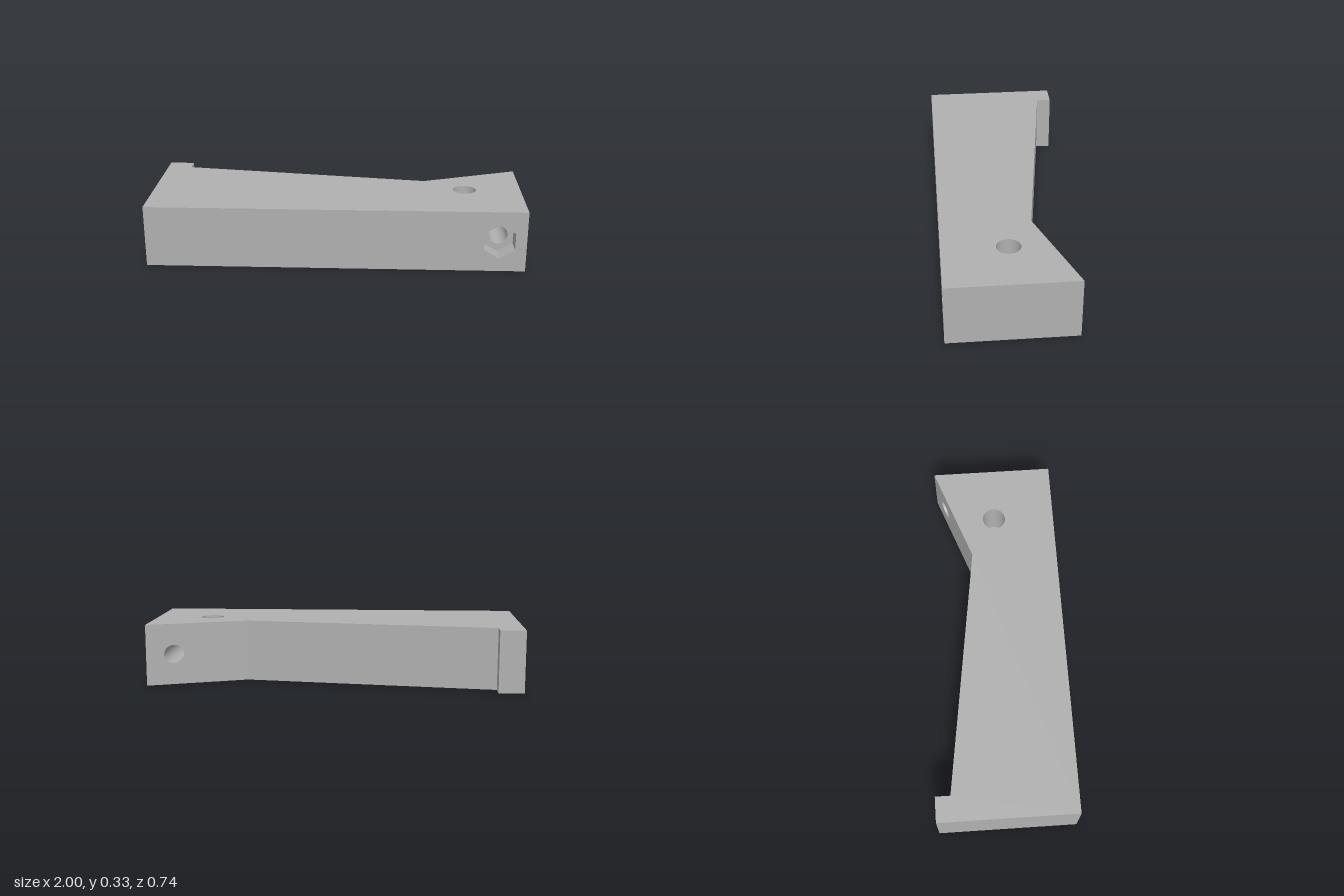
import * as THREE from 'three';

const HEIGHT = 0.33, FRONT = 0.37;
// Plan outline of the block as [x, z], running from the front left corner round to the back
const PLAN = [[-1, FRONT], [1, FRONT], [1, -0.29], [0.48, -0.1], [-0.865, -0.29], [-0.865, -0.37], [-1, -0.37]];
const BORE = { x: 0.86, y: 0.165, r: 0.05 };
const NUT = { r: 0.093, depth: 0.1 };
const PIN = { x: 0.695, z: 0.035, r: 0.062, depth: 0.22 };
const SEGMENTS = 48;

// Depth of the sloping back face at a given x
const slopeZ = (x) => -0.1 - (x - 0.48) * (0.19 / 0.52);

const polygon = (pts) => new THREE.Shape(pts.map(([x, y]) => new THREE.Vector2(x, y)));

// Points of a regular polygon with a corner pointing straight up
function ring(cx, cy, r, n) {
  return Array.from({ length: n }, (_, i) => {
    const a = Math.PI / 2 + (i / n) * Math.PI * 2;
    return [cx + r * Math.cos(a), cy + r * Math.sin(a)];
  });
}

function face(outline, hole) {
  const shape = polygon(outline);
  if (hole) shape.holes.push(polygon(hole));
  return new THREE.ShapeGeometry(shape);
}

export function createModel() {
  const group = new THREE.Group();
  const grey = new THREE.MeshStandardMaterial({ color: 0xb0b0b0, side: THREE.DoubleSide });
  grey.name = 'plain grey';

  const add = (name, geometry) => {
    const mesh = new THREE.Mesh(geometry, grey);
    mesh.name = name;
    group.add(mesh);
  };

  // Top with the round pin hole, and the plain underside
  const top = face(PLAN.map(([x, z]) => [x, -z]), ring(PIN.x, -PIN.z, PIN.r, SEGMENTS));
  add('topFace', top.rotateX(-Math.PI / 2).translate(0, HEIGHT, 0));
  add('underside', face(PLAN).rotateX(Math.PI / 2));

  // Front with the hexagonal recess
  const hexagon = ring(BORE.x, BORE.y, NUT.r, 6);
  const frontOutline = [[-1, 0], [1, 0], [1, HEIGHT], [-1, HEIGHT]];
  add('frontFace', face(frontOutline, hexagon).translate(0, 0, FRONT));

  // Sloping back face with the bore opening, sheared onto the slope
  const slope = face(
    [[-1, 0], [-0.48, 0], [-0.48, HEIGHT], [-1, HEIGHT]],
    ring(-BORE.x, BORE.y, BORE.r, SEGMENTS)
  ).rotateY(Math.PI);
  const sp = slope.attributes.position;
  for (let i = 0; i < sp.count; i++) sp.setZ(i, slopeZ(sp.getX(i)));
  slope.computeVertexNormals();
  add('slopingBackFace', slope);

  // Remaining plain side walls
  PLAN.forEach(([x0, z0], i) => {
    if (i === 0 || i === 2) return;
    const [x1, z1] = PLAN[(i + 1) % PLAN.length];
    const dx = x1 - x0, dz = z1 - z0;
    const wall = new THREE.PlaneGeometry(Math.hypot(dx, dz), HEIGHT);
    wall.rotateY(Math.atan2(-dz, dx)).translate((x0 + x1) / 2, HEIGHT / 2, (z0 + z1) / 2);
    add('sideWall' + i, wall);
  });

  // Hexagonal nut recess: flat walls and a floor pierced by the bore
  const floorZ = FRONT - NUT.depth;
  const nut = new THREE.CylinderGeometry(NUT.r, NUT.r, NUT.depth, 6, 1, true).toNonIndexed();
  nut.computeVertexNormals();
  add('nutRecessWalls', nut.rotateX(Math.PI / 2).translate(BORE.x, BORE.y, FRONT - NUT.depth / 2));
  add('nutRecessFloor', face(hexagon, ring(BORE.x, BORE.y, BORE.r, SEGMENTS)).translate(0, 0, floorZ));

  // Through bore, its far end trimmed to the sloping face
  const bore = new THREE.CylinderGeometry(BORE.r, BORE.r, 1, SEGMENTS, 1, true);
  bore.rotateX(Math.PI / 2).translate(BORE.x, BORE.y, 0);
  const bp = bore.attributes.position;
  for (let i = 0; i < bp.count; i++) bp.setZ(i, bp.getZ(i) > 0 ? floorZ : slopeZ(bp.getX(i)));
  add('boreWall', bore);

  // Blind pin hole in the top
  const pin = new THREE.CylinderGeometry(PIN.r, PIN.r, PIN.depth, SEGMENTS, 1, true);
  add('pinHoleWall', pin.translate(PIN.x, HEIGHT - PIN.depth / 2, PIN.z));
  const pinFloor = new THREE.CircleGeometry(PIN.r, SEGMENTS).rotateX(-Math.PI / 2);
  add('pinHoleFloor', pinFloor.translate(PIN.x, HEIGHT - PIN.depth, PIN.z));

  return group;
}
